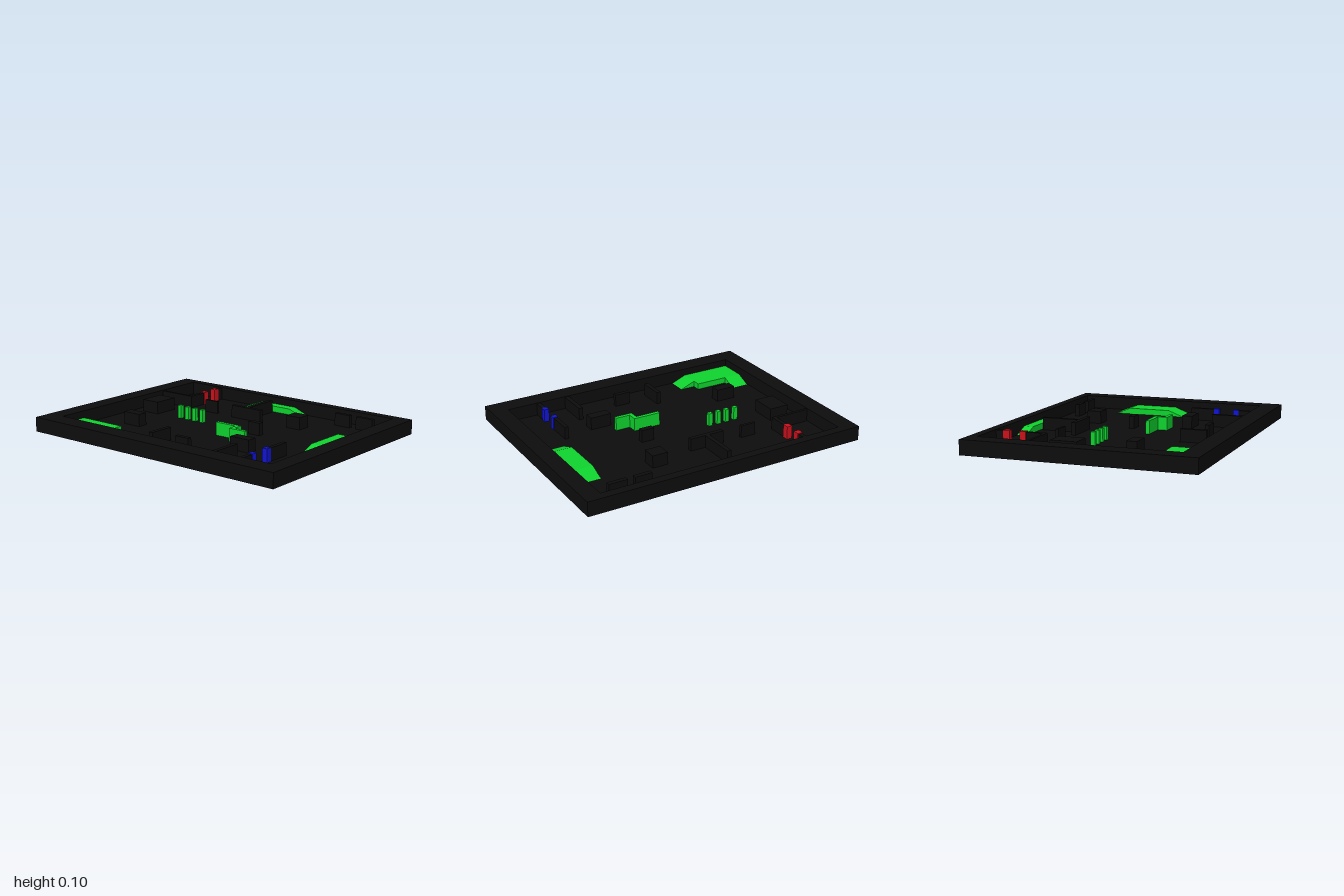
import * as THREE from 'three';

const mat = (color) => new THREE.MeshStandardMaterial({ color, flatShading: true });
const FLOOR = 0.01, TOP = 0.1, DECK = 0.052;

export function createModel() {
  const model = new THREE.Group();
  const black = mat(0x0d0d0d), green = mat(0x0fd22e), red = mat(0xc8121c), blue = mat(0x1014d0);

  // Box given by its footprint and its bottom and top heights
  const block = (name, material, x0, x1, z0, z1, y0 = FLOOR, y1 = TOP) => {
    const mesh = new THREE.Mesh(new THREE.BoxGeometry(x1 - x0, y1 - y0, z1 - z0), material);
    mesh.position.set((x0 + x1) / 2, (y0 + y1) / 2, (z0 + z1) / 2);
    mesh.name = name;
    model.add(mesh);
    return mesh;
  };

  // Raised deck whose side profile [along, height] is extruded over a width
  const ramp = (name, profile, width) => {
    const shape = new THREE.Shape(profile.map(([a, h]) => new THREE.Vector2(a, h)));
    const mesh = new THREE.Mesh(
      new THREE.ExtrudeGeometry(shape, { depth: width, bevelEnabled: false }), green);
    mesh.name = name;
    model.add(mesh);
    return mesh;
  };

  // Tray: floor and four rim walls
  const L = -0.875, R = 0.885, B = -0.712, F = 0.64;
  block('floor', black, -1, 1, -0.773, 0.773, 0, FLOOR);
  block('rimLeft', black, R, 1, -0.773, 0.773);
  block('rimRight', black, -1, L, -0.773, 0.773);
  block('rimBack', black, L, R, -0.773, B);
  block('rimFront', black, L, R, F, 0.773);

  // Back ramp, sloping down at both ends
  ramp('backRamp', [[-0.32, FLOOR], [0.187, FLOOR], [0.08, DECK], [-0.21, DECK]], 0.067)
    .position.z = B;

  // Left side ramp, running front to back
  const side = ramp('sideRamp', [[-0.11, FLOOR], [0.405, FLOOR], [0.3, DECK], [0, DECK]], 0.16);
  side.rotation.y = Math.PI / 2;
  side.position.x = 0.723;

  // Corner platform with one slope to the side and one to the back
  ramp('cornerPlatform', [[-0.87, FLOOR], [-0.41, FLOOR], [-0.515, DECK], [-0.87, DECK]], 0.13)
    .position.z = 0.508;
  block('cornerDeck', green, -0.87, -0.515, 0.45, 0.508, FLOOR, DECK);
  const slope = ramp('cornerSlope', [[-0.45, FLOOR], [-0.345, FLOOR], [-0.45, DECK]], 0.125);
  slope.rotation.y = Math.PI / 2;
  slope.position.x = -0.87;

  // Row of small pillars
  for (const x of [-0.465, -0.397, -0.332, -0.266])
    block('pillar', green, x - 0.015, x + 0.015, -0.113, -0.083);

  // Zigzag wall in the middle
  block('zigzagWall', green, 0.023, 0.217, 0.078, 0.105);
  block('zigzagWall', green, 0.19, 0.217, 0.105, 0.146);
  block('zigzagWall', green, 0.19, 0.32, 0.146, 0.172);

  // Door posts of the two gates
  for (const z of [-0.637, -0.522]) block('redGatePost', red, -0.626, -0.586, z - 0.022, z + 0.022);
  for (const z of [0.388, 0.53]) block('blueGatePost', blue, 0.642, 0.678, z - 0.02, z + 0.02);

  // Maze walls and cover blocks: x0, x1, z0, z1
  const walls = [
    [-0.62, -0.592, B, -0.66], [-0.62, -0.592, -0.5, -0.36],
    [0.646, 0.674, 0.2, 0.368], [0.646, 0.674, 0.55, F],
    [-0.8, -0.66, -0.25, -0.07], [-0.87, -0.62, -0.38, -0.36],
    [-0.66, -0.52, 0.2, 0.27], [-0.45, -0.34, -0.37, -0.35],
    [-0.2, 0.05, -0.37, -0.34], [-0.09, -0.06, -0.63, -0.37],
    [0.27, 0.38, -0.45, -0.35], [0.49, 0.61, -0.64, -0.61],
    [0.66, 0.79, -0.64, -0.61], [0.17, 0.26, -0.1, -0.06],
    [-0.16, -0.13, 0.38, 0.56], [0.03, 0.14, 0.49, 0.52],
    [0.31, 0.46, 0.24, 0.31], [0.43, 0.46, 0.42, F],
  ];
  for (const w of walls) block('wall', black, ...w, FLOOR, 0.096);

  return model;
}
